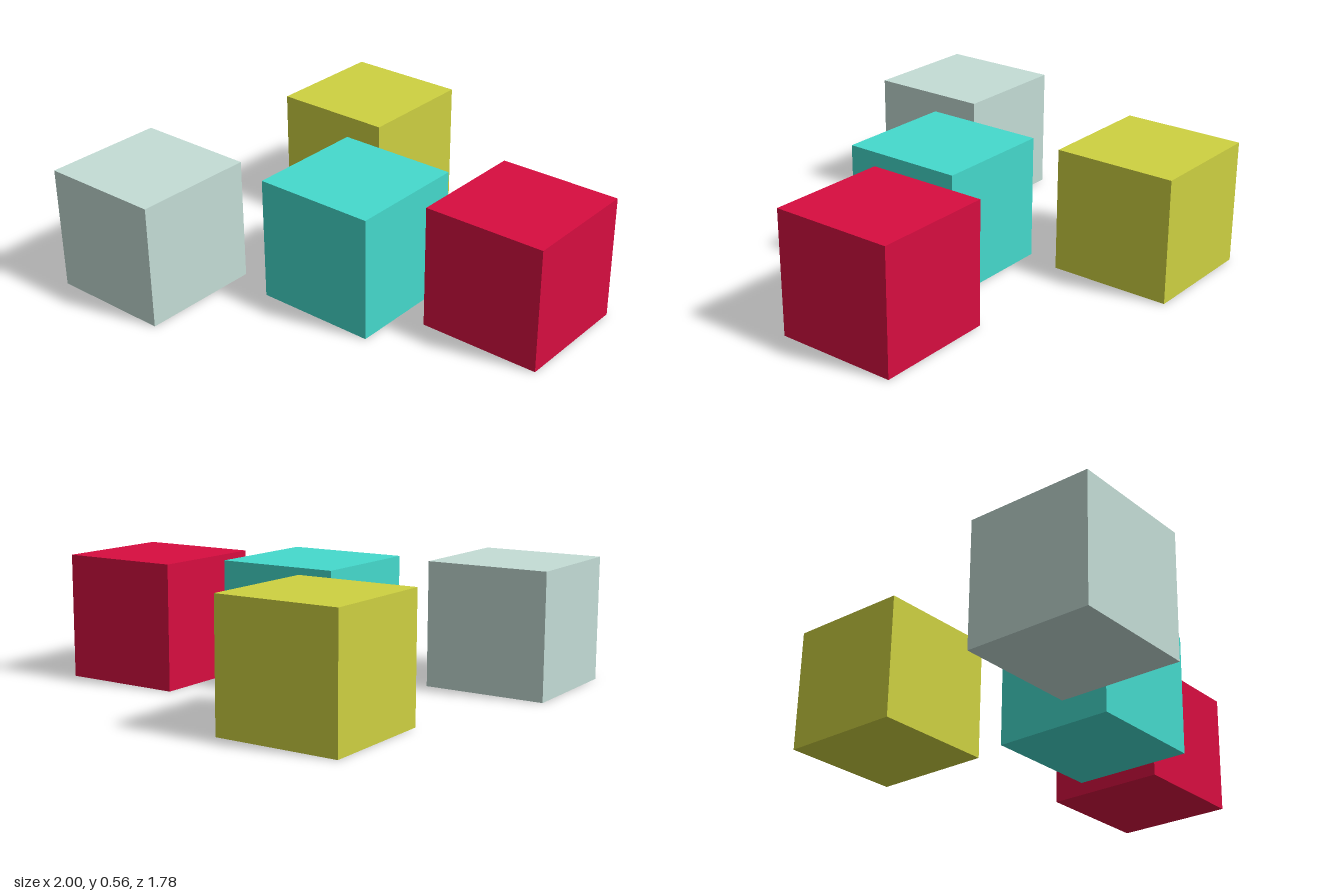
import * as THREE from 'three';

const SIZE = 0.562;

// name, colour, centre x, centre z
const CUBES = [
  ['paleCube', 0xc4ddd6, -0.719, 0.609],
  ['yellowCube', 0xced141, -0.478, -0.609],
  ['turquoiseCube', 0x45dacd, 0.036, 0.122],
  ['redCube', 0xd80d40, 0.719, -0.121],
];

export function createModel() {
  const model = new THREE.Group();
  model.name = 'cubes';
  const geometry = new THREE.BoxGeometry(SIZE, SIZE, SIZE);

  // Four equal cubes standing on the ground
  for (const [name, color, x, z] of CUBES) {
    const cube = new THREE.Mesh(geometry, new THREE.MeshStandardMaterial({ color }));
    cube.name = name;
    cube.position.set(x, SIZE / 2, z);
    model.add(cube);
  }
  return model;
}
